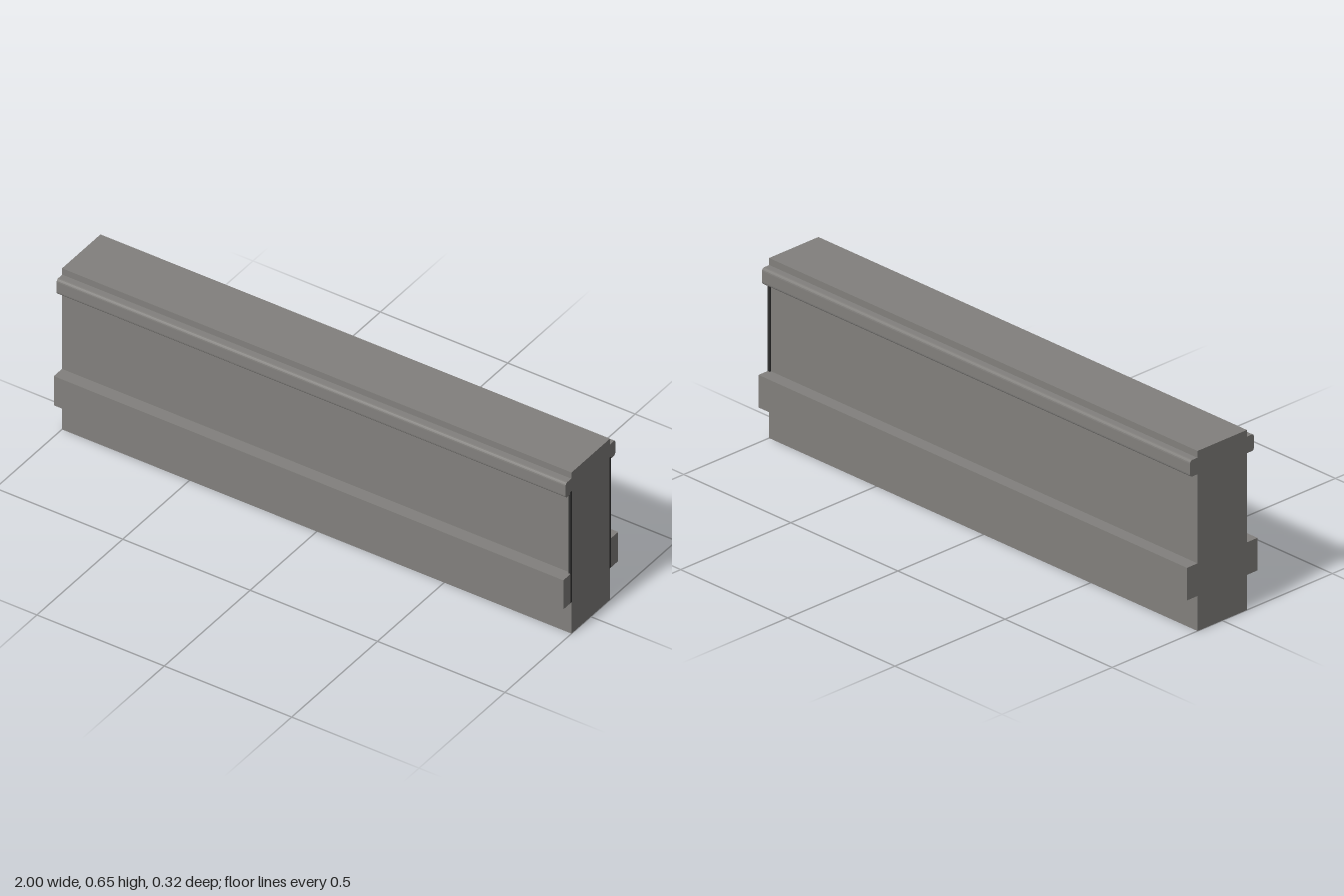
import * as THREE from 'three';

export function createModel() {
  const model = new THREE.Group();
  model.name = 'wallSegment';
  const stone = new THREE.MeshStandardMaterial({ color: 0x82807d });
  stone.name = 'grey stone';
  const dark = new THREE.MeshStandardMaterial({ color: 0x333333 });
  dark.name = 'dark seam';

  const addBox = (name, material, size, position) => {
    const mesh = new THREE.Mesh(new THREE.BoxGeometry(...size), material);
    mesh.name = name;
    mesh.position.set(...position);
    model.add(mesh);
  };

  // Main wall
  addBox('wallBody', stone, [2, 0.652, 0.224], [0, 0.326, 0]);

  // Upper rail profile: outward distance by height, rounded outer corners
  const y0 = 0.567, y1 = 0.627, inner = 0.1, outer = 0.145, r = 0.011;
  const profile = new THREE.Shape();
  profile.moveTo(inner, y0);
  profile.lineTo(outer - r, y0);
  profile.quadraticCurveTo(outer, y0, outer, y0 + r);
  profile.lineTo(outer, y1 - r);
  profile.quadraticCurveTo(outer, y1, outer - r, y1);
  profile.lineTo(inner, y1);
  profile.closePath();
  const railGeometry = new THREE.ExtrudeGeometry(profile, { depth: 1.998, bevelEnabled: false, curveSegments: 4 });
  railGeometry.translate(0, 0, -0.999);

  for (const side of [1, -1]) {
    const label = side > 0 ? 'front' : 'back';

    const rail = new THREE.Mesh(railGeometry, stone);
    rail.name = label + 'UpperRail';
    rail.rotation.y = -side * Math.PI / 2;
    model.add(rail);

    // Lower ledge
    addBox(label + 'Ledge', stone, [2, 0.118, 0.06], [0, 0.186, side * 0.13]);

    // Thin seam strip at the left end
    addBox(label + 'SeamStrip', dark, [0.009, 0.449, 0.008], [0.9957, 0.3515, side * 0.114]);
  }
  return model;
}
